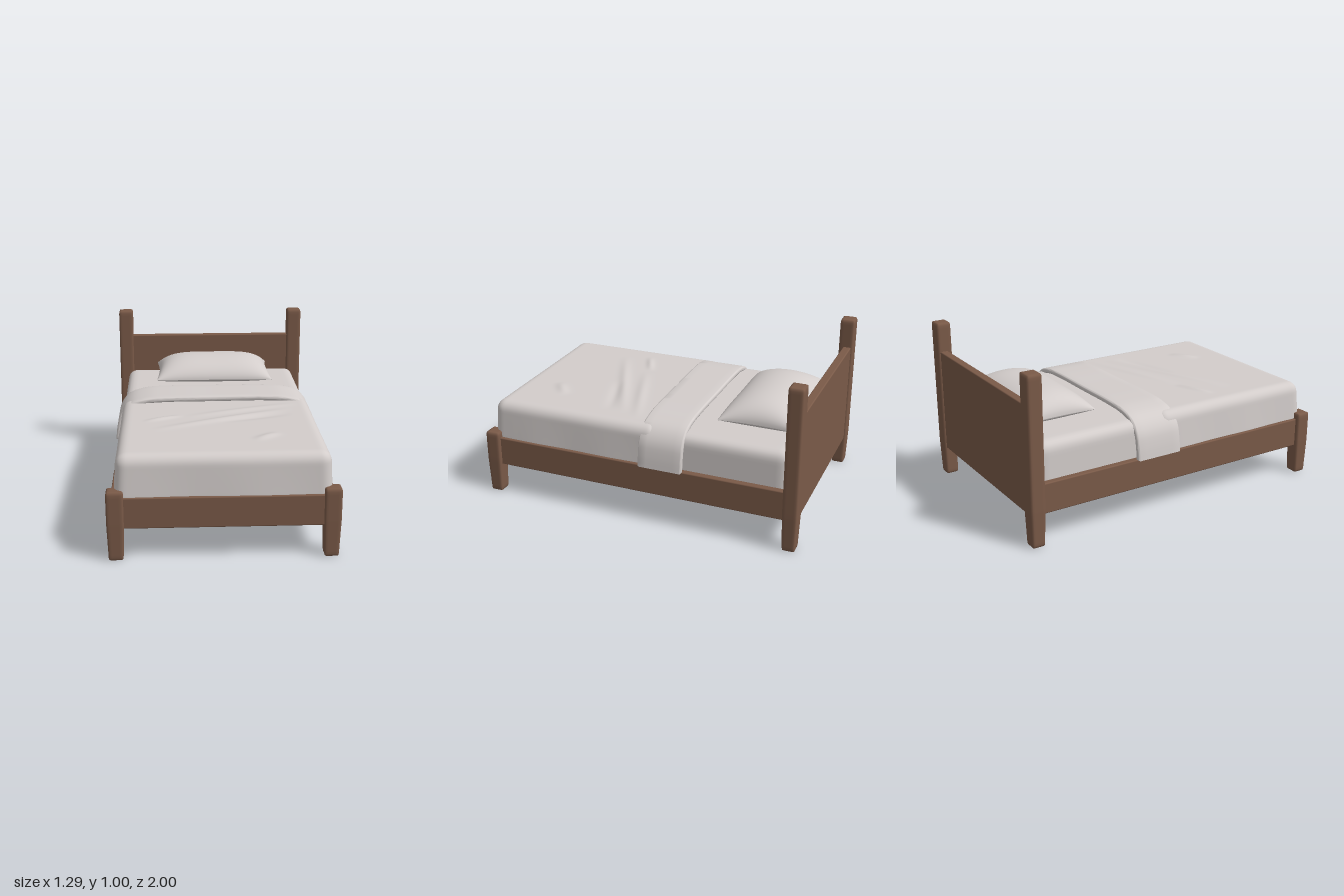
import * as THREE from 'three';
import { mergeVertices } from 'three/addons/utils/BufferGeometryUtils.js';
import { toCreasedNormals } from 'three/addons/utils/BufferGeometryUtils.js';
import { RoundedBoxGeometry } from 'three/addons/geometries/RoundedBoxGeometry.js';

const wood = new THREE.MeshStandardMaterial({ color: 0x7a5a48 });
wood.name = 'brown wood';
const linen = new THREE.MeshStandardMaterial({ color: 0xd3cdcb });
linen.name = 'pale linen';

// Move every vertex of a geometry by a rule
function reshape(geometry, rule) {
  const pos = geometry.attributes.position;
  const p = new THREE.Vector3();
  for (let i = 0; i < pos.count; i++) {
    rule(p.fromBufferAttribute(pos, i));
    pos.setXYZ(i, p.x, p.y, p.z);
  }
  geometry.computeVertexNormals();
  return geometry;
}

// Finely divided box between two corners, with rounded edges and an optional extra rule
function softBox(min, max, r, segs, roundBottom, rule = () => {}) {
  const lo = new THREE.Vector3(...min), hi = new THREE.Vector3(...max);
  const size = hi.clone().sub(lo), mid = lo.clone().add(hi).multiplyScalar(0.5);
  const box = new THREE.BoxGeometry(size.x, size.y, size.z, ...segs).translate(mid.x, mid.y, mid.z);
  box.deleteAttribute('normal');
  box.deleteAttribute('uv');
  const a = lo.clone().addScalar(r), b = hi.clone().subScalar(r);
  if (!roundBottom) a.y = lo.y;
  const c = new THREE.Vector3(), d = new THREE.Vector3();
  return reshape(mergeVertices(box), (p) => {
    c.copy(p).clamp(a, b);
    d.copy(p).sub(c);
    if (d.length() > r) d.setLength(r);
    p.copy(c).add(d);
    rule(p);
  });
}

// Square post whose foot narrows below the rails
function post(height, x, z) {
  const h = 0.048;
  const g = softBox([-h, 0, -0.045], [h, height, 0.045], 0.012, [8, Math.round(height * 60), 8], true, (p) => {
    const s = 1 - 0.16 * Math.max(0, (0.22 - p.y) / 0.22);
    p.x *= s;
    p.z *= s;
  });
  return g.translate(x, 0, z);
}

function board(w, h, d, x, y, z) {
  return new RoundedBoxGeometry(w, h, d, 3, 0.007).translate(x, y, z);
}

// Soft ridge along a line on the blanket, from (x0, z0) to (x1, z1)
function ridge(p, x0, z0, x1, z1, height, width) {
  const dx = x1 - x0, dz = z1 - z0, len = Math.hypot(dx, dz);
  const t = ((p.x - x0) * dx + (p.z - z0) * dz) / (len * len);
  if (t < 0 || t > 1) return 0;
  const off = ((p.x - x0) * dz - (p.z - z0) * dx) / len;
  return height * Math.sin(Math.PI * t) * Math.exp(-((off / width) ** 2));
}

const creases = [
  [-0.4, 0.52, 0.45, 0.15, 0.010, 0.03],
  [-0.2, 0.28, 0.5, 0.04, 0.008, 0.03],
  [-0.45, 0.36, -0.22, 0.26, 0.010, 0.02],
  [0.18, 0.72, 0.34, 0.6, 0.010, 0.03],
  [0.0, 0.38, 0.45, 0.24, -0.007, 0.03],
];

// Blanket flares outward as it hangs and carries shallow creases on top
function blanketRule(p) {
  const drop = THREE.MathUtils.clamp((0.6 - p.y) / 0.24, 0, 1);
  if (p.y > 0.55) for (const c of creases) p.y += ridge(p, ...c);
  const ripple = 0.004 * drop * Math.sin(p.z * 13 + p.x * 9);
  p.x *= 1 + 0.025 * drop + ripple;
  if (p.z > 0.8) p.z += 0.015 * drop + ripple;
}

// Thick folded strip following an arch over the bed
function foldGeometry() {
  const half = [[0, 0.619], [0.3, 0.619], [0.44, 0.61], [0.54, 0.58], [0.593, 0.52], [0.613, 0.44], [0.622, 0.36]];
  const pts = [...half.slice(1).reverse().map(([x, y]) => [-x, y]), ...half]
    .map(([x, y]) => new THREE.Vector3(x, y, 0));
  const curve = new THREE.CatmullRomCurve3(pts);
  const outer = [], inner = [], n = 64, t = 0.016;
  for (let i = 0; i <= n; i++) {
    const p = curve.getPointAt(i / n), d = curve.getTangentAt(i / n);
    outer.push(new THREE.Vector2(p.x - d.y * t, p.y + d.x * t));
    inner.push(new THREE.Vector2(p.x + d.y * t, p.y - d.x * t));
  }
  const shape = new THREE.Shape([...outer, ...inner.reverse()]);
  const g = new THREE.ExtrudeGeometry(shape, {
    depth: 0.256, steps: 6, bevelEnabled: true, bevelThickness: 0.012, bevelSize: 0.012, bevelOffset: -0.012, bevelSegments: 4,
  }).translate(0, 0, -0.288);
  // front edge lies slightly askew
  reshape(g, (p) => { p.z += (p.z + 0.3) / 0.28 * (0.006 - 0.016 * p.x); });
  return toCreasedNormals(g, 0.8);
}

// One half of the pillow: a domed sheet with slightly hollow sides
function pillowHalf(height) {
  const g = new THREE.PlaneGeometry(2, 2, 36, 28).rotateX(-Math.PI / 2);
  if (height < 0) {
    const idx = g.index.array;
    for (let i = 0; i < idx.length; i += 3) [idx[i], idx[i + 1]] = [idx[i + 1], idx[i]];
  }
  return reshape(g, (p) => {
    const u = Math.sin(p.x * Math.PI / 2), v = Math.sin(p.z * Math.PI / 2);
    const dome = Math.sqrt(Math.max(0, 1 - u ** 4)) * Math.pow(Math.max(0, 1 - v * v), 0.55);
    p.set(0.388 * u * (1 - 0.045 * (1 - v * v)), height * dome, 0.243 * v * (1 - 0.03 * (1 - u * u)));
  });
}

export function createModel() {
  const bed = new THREE.Group();
  bed.name = 'bed';
  const add = (name, geometry, material, parent = bed) => {
    const mesh = new THREE.Mesh(geometry, material);
    mesh.name = name;
    parent.add(mesh);
    return mesh;
  };

  // Wooden frame
  const frame = new THREE.Group();
  frame.name = 'frame';
  bed.add(frame);
  for (const [side, s] of [['left', 1], ['right', -1]]) {
    add(side + 'FrontPost', post(0.405, s * 0.598, 0.954), wood, frame);
    add(side + 'HeadPost', post(1.005, s * 0.598, -0.954), wood, frame);
    add(side + 'SideRail', board(0.04, 0.18, 1.86, s * 0.602, 0.277, 0), wood, frame);
  }
  add('footRail', board(1.14, 0.18, 0.05, 0, 0.277, 0.958), wood, frame);
  add('headboard', board(1.14, 0.64, 0.05, 0, 0.505, -0.962), wood, frame);

  // Bedding
  add('mattress', softBox([-0.585, 0.28, -0.925], [0.585, 0.585, 0.94], 0.06, [48, 14, 72], false), linen);
  add('blanket', softBox([-0.59, 0.355, -0.12], [0.59, 0.6, 0.955], 0.06, [80, 16, 76], false, blanketRule), linen);
  add('foldedBlanketEdge', foldGeometry(), linen);

  const pillow = new THREE.Group();
  pillow.name = 'pillow';
  pillow.position.set(0.008, 0.628, -0.674);
  bed.add(pillow);
  add('pillowTop', pillowHalf(0.127), linen, pillow);
  add('pillowUnderside', pillowHalf(-0.044), linen, pillow);

  return bed;
}
